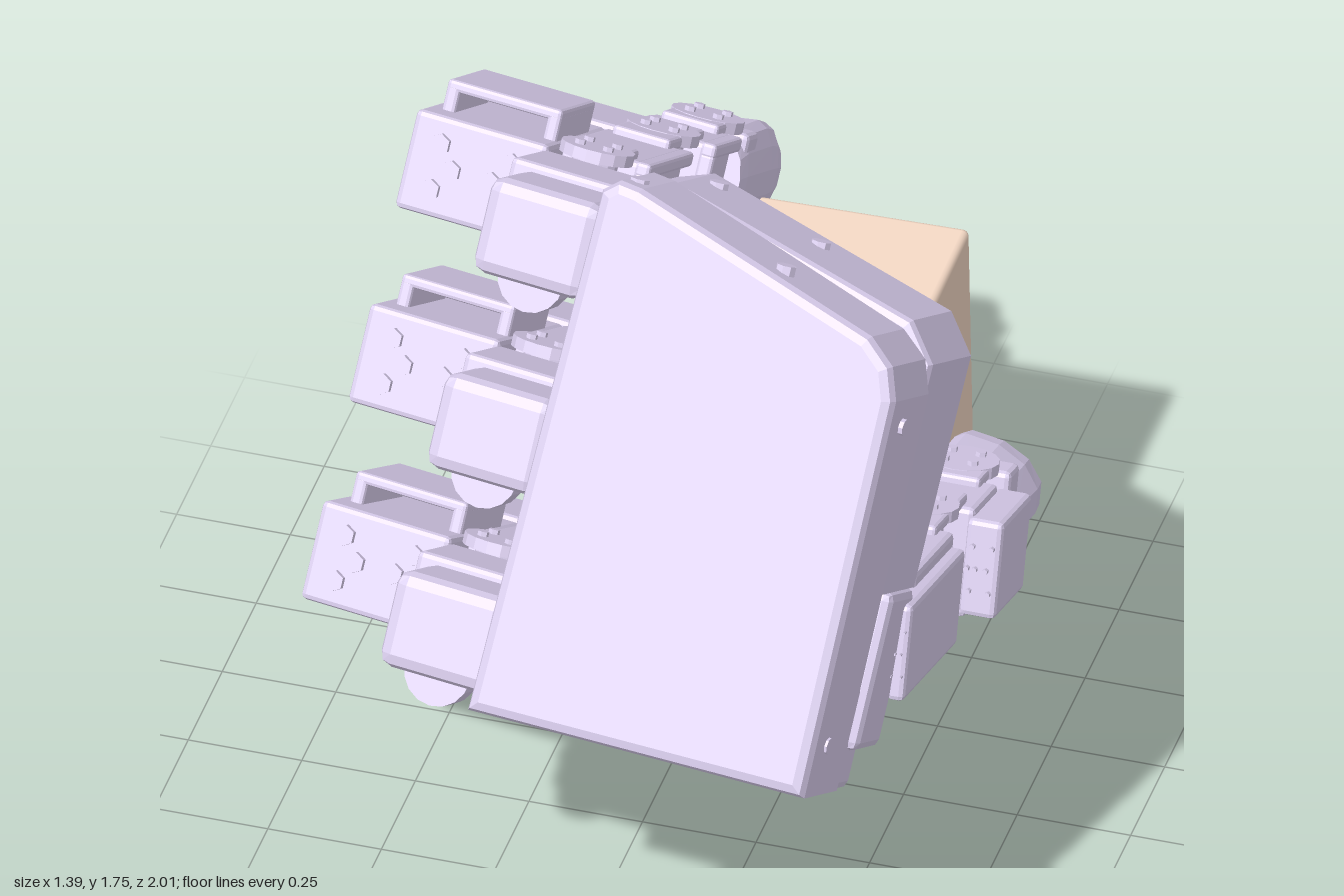
import * as THREE from 'three';
import { RoundedBoxGeometry } from 'three/addons/geometries/RoundedBoxGeometry.js';

const shell = new THREE.MeshStandardMaterial({ color: 0xdcd0f0, flatShading: true });
const tan = new THREE.MeshStandardMaterial({ color: 0xf6dac6 });

function add(parent, name, geo, x = 0, y = 0, z = 0, mat = shell) {
  const m = new THREE.Mesh(geo, mat);
  m.name = name;
  m.position.set(x, y, z);
  parent.add(m);
  return m;
}

// Box given by its min and max on every axis
function block(parent, name, x0, x1, y0, y1, z0, z1, r = 0.012) {
  const w = x1 - x0, h = y1 - y0, d = z1 - z0;
  return add(parent, name, new RoundedBoxGeometry(w, h, d, 1, r),
    (x0 + x1) / 2, (y0 + y1) / 2, (z0 + z1) / 2);
}

// Bevelled slab from an XY outline between two depths
function slab(parent, name, pts, z0, z1, bevel) {
  const shape = new THREE.Shape(pts.map(([x, y]) => new THREE.Vector2(x, y)));
  const geo = new THREE.ExtrudeGeometry(shape, {
    depth: z1 - z0 - 2 * bevel, bevelThickness: bevel, bevelSize: bevel,
    bevelOffset: -bevel, bevelSegments: 2,
  });
  return add(parent, name, geo, 0, 0, z0 + bevel);
}

// Hinge: a servo horn with screws on each side, open in the middle
function hinge(parent, z) {
  for (const s of [-1, 1]) {
    add(parent, 'hingeKnuckle', new THREE.CylinderGeometry(0.05, 0.05, 0.05, 14), 0, s * 0.1, z);
    add(parent, 'hingeHorn', new THREE.CylinderGeometry(0.08, 0.08, 0.025, 16), 0, s * 0.13, z);
    for (let i = 0; i < 4; i++) {
      const a = Math.PI * (i / 2 + 0.25);
      add(parent, 'hornScrew', new THREE.CylinderGeometry(0.012, 0.012, 0.015, 6),
        0.045 * Math.cos(a), s * 0.145, z + 0.045 * Math.sin(a));
    }
  }
}

// Link: body with an inner cover rim, and ears reaching to the hinges
function link(parent, name, z0, z1, hinge0, hinge1) {
  const g = new THREE.Group();
  g.name = name;
  parent.add(g);
  block(g, 'linkBody', -0.1, 0.085, -0.122, 0.122, z0, z1);
  for (const s of [-1, 1]) {
    const y = s * 0.127;
    block(g, 'linkEar', -0.07, 0.06, y - 0.014, y + 0.014, hinge0, z0 + 0.05, 0.008);
    block(g, 'linkEar', -0.07, 0.06, y - 0.014, y + 0.014, z1 - 0.05, hinge1, 0.008);
    block(g, 'coverRim', 0.07, 0.105, s * 0.107 - 0.016, s * 0.107 + 0.016, z0, z1, 0.008);
  }
  block(g, 'coverRim', 0.07, 0.105, -0.1, 0.1, z1 - 0.03, z1, 0.008);
  block(g, 'coverClip', 0.07, 0.1, -0.035, 0.035, z0 + 0.04, z0 + 0.12, 0.008);
}

// Servo housing on the outer side of a link, screws in a cross on its front
function servo(parent, name, x0, x1, y, z0, z1) {
  const g = new THREE.Group();
  g.name = name;
  g.position.y = y;
  parent.add(g);
  block(g, 'housing', x0, x1, -0.108, 0.108, z0, z1);
  const cx = (x0 + x1) / 2, k = Math.min(1, (x1 - x0) / 0.3);
  for (const [sx, sy] of [[-0.08, 0.05], [-0.08, -0.05], [-0.045, 0], [0.045, 0], [0.08, 0.05], [0.08, -0.05], [0.11, 0]]) {
    const c = add(g, 'housingScrew', new THREE.CylinderGeometry(0.023 * k, 0.023 * k, 0.02, 6),
      cx + sx * k, sy, z1 + 0.003);
    c.rotation.x = Math.PI / 2;
  }
}

// Cable loop standing on the upper side of a servo housing
function cableLoop(parent, x0, x1, z0, z1) {
  block(parent, 'cableLoopBar', x0, x1, 0.165, 0.19, z0, z1, 0.008);
  for (const x of [x0, x1 - 0.03])
    block(parent, 'cableLoopArm', x, x + 0.03, 0.1, 0.18, z0, z1, 0.008);
}

// Blunt fingertip: flat on the gripping side, fuller on the outer side
function fingertip(parent) {
  const profile = [[0, 0], [0.1, 0], [0.118, 0.04], [0.122, 0.2], [0.112, 0.255], [0.085, 0.3], [0.045, 0.33], [0, 0.34]]
    .map(([r, y]) => new THREE.Vector2(r, y));
  const geo = new THREE.LatheGeometry(profile, 14);
  const p = geo.attributes.position;
  for (let i = 0; i < p.count; i++) {
    const x = p.getX(i), r = Math.hypot(x, p.getZ(i)) || 1;
    p.setX(i, 0.05 + x * Math.sqrt(0.122 / r) * (x > 0 ? 0.45 : 1.4));
  }
  geo.computeVertexNormals();
  add(parent, 'fingertip', geo, 0, 0, -0.1).rotation.x = -Math.PI / 2;
  block(parent, 'fingertipMount', -0.1, 0.09, -0.115, 0.115, -0.2, -0.12);
}

// Finger pointing along -z, servos on the -x side
function finger(parent, name, outerA, outerB) {
  const g = new THREE.Group();
  g.name = name;
  parent.add(g);
  [0.68, 0.22, -0.09].forEach((z) => hinge(g, z));
  link(g, 'proximalLink', 0.31, 0.62, 0.19, 0.7);
  link(g, 'middleLink', -0.03, 0.16, -0.12, 0.24);
  servo(g, 'proximalServo', -0.09 - outerA, -0.09, 0.015, 0.32, 0.74);
  servo(g, 'middleServo', -0.09 - outerB, -0.09, 0, -0.05, 0.18);
  fingertip(g);
  return g;
}

export function createModel() {
  const model = new THREE.Group();
  model.name = 'gripperHand';

  // Hand frame: x across the palm, y along it, z out of its outer face
  const hand = new THREE.Group();
  hand.name = 'hand';
  const up = new THREE.Vector3(0.09, 0.865, -0.495).normalize();
  const out = new THREE.Vector3(-0.09, 0.5, 0.86).normalize();
  const across = new THREE.Vector3().crossVectors(up, out).normalize();
  hand.quaternion.setFromRotationMatrix(new THREE.Matrix4().makeBasis(across, up, out));
  model.add(hand);

  // Palm: full outer shell, inner half notched for the thumb
  slab(hand, 'palmOuter', [[-0.1, 0.17], [0.67, 0.19], [0.665, 1.06], [0.64, 1.13], [0.58, 1.18],
    [0.01, 1.345], [-0.04, 1.35], [-0.075, 1.32]], 0.93, 1.185, 0.025);
  slab(hand, 'palmInner', [[-0.09, 0.2], [0.28, 0.2], [0.36, 0.27], [0.36, 0.61], [0.65, 0.61], [0.655, 1.12],
    [0.59, 1.2], [0.01, 1.34], [-0.07, 1.31]], 0.68, 0.96, 0.02);

  // Screw bosses along the palm edges
  for (const [x, y, z] of [[-0.02, 1.34, 1.1], [0.34, 1.25, 1.1], [0.3, 1.265, 0.78], [0.05, 1.325, 0.78]])
    add(hand, 'palmBoss', new THREE.CylinderGeometry(0.022, 0.022, 0.03, 8), x, y, z);
  for (const y of [0.3, 1.0]) {
    const b = add(hand, 'palmBoss', new THREE.CylinderGeometry(0.018, 0.018, 0.02, 8), 0.665, y, 1.09);
    b.rotation.z = Math.PI / 2;
  }

  // Three fingers, slightly fanned, with their base servos beside the palm
  [1.18, 0.75, 0.315].forEach((y, i) => {
    const f = finger(hand, 'finger' + (i + 1), 0.3, 0.19);
    f.position.set(-0.285 + 0.02 * i, y, 0);
    f.rotation.y = 0.035 * (1 - i);
    cableLoop(f, -0.36, -0.1, 0.42, 0.66);
    block(hand, 'fingerBaseServo', -0.33, -0.07, y - 0.11, y + 0.1, 0.94, 1.15, 0.03);
    block(hand, 'fingerBaseBracket', -0.35, -0.07, y - 0.13, y + 0.12, 0.77, 0.97);
    const horn = add(hand, 'fingerBaseHorn', new THREE.CylinderGeometry(0.075, 0.075, 0.06, 16), -0.25, y - 0.12, 0.93);
    horn.rotation.x = Math.PI / 2;
  });

  // Thumb mount and upright bracket in the palm notch
  block(hand, 'thumbMount', 0.37, 0.62, 0.16, 0.4, 0.72, 0.95, 0.02);
  block(hand, 'thumbBracket', 0.41, 0.64, 0.25, 0.6, 0.64, 0.8, 0.02);

  // Thumb opposes the fingers, so it is turned half round about its length
  const thumbAim = new THREE.Group();
  thumbAim.name = 'thumb';
  thumbAim.position.set(0.51, 0.5, -0.27);
  thumbAim.rotation.x = -0.32;
  model.add(thumbAim);
  finger(thumbAim, 'thumbFinger', 0.04, 0.08).rotation.z = Math.PI;

  // Held box
  const held = add(model, 'heldBox', new RoundedBoxGeometry(0.48, 0.725, 0.48, 2, 0.015), 0.16, 0.495, -0.612, tan);
  held.rotation.set(0.01, 0.01, 0.015);
  return model;
}
